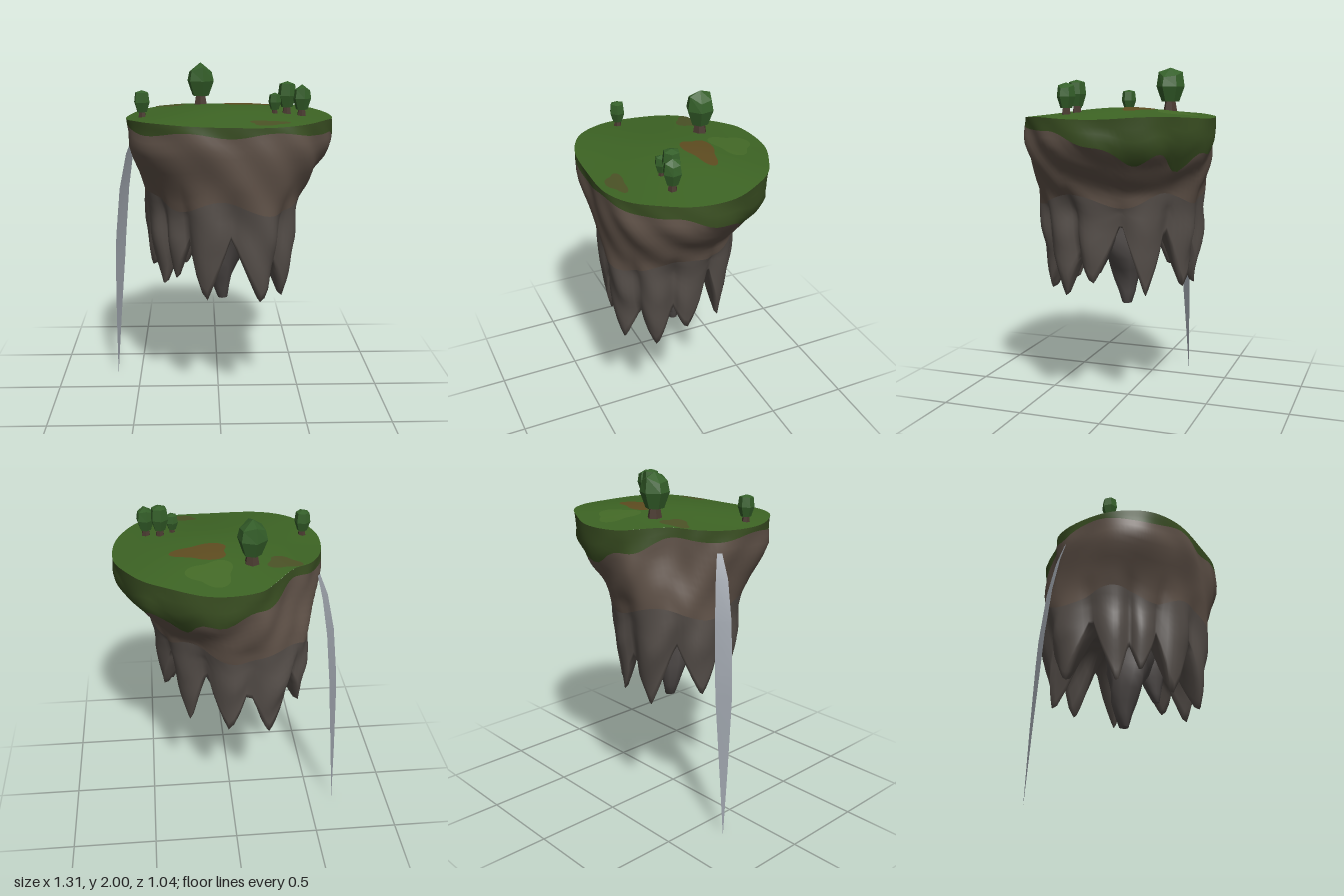
import * as THREE from 'three';

const { lerp, clamp, degToRad, mapLinear } = THREE.MathUtils;
const COLS = 112;
const CENTRE = new THREE.Vector3(0.06, 0, 0);

// Plan outline of the island as [x, z]
const OUTLINE = [
  [0.64, -0.08], [0.64, 0.14], [0.58, 0.29], [0.47, 0.43], [0.31, 0.5], [0.08, 0.51], [-0.2, 0.49],
  [-0.37, 0.41], [-0.45, 0.32], [-0.52, 0.16], [-0.5, -0.07], [-0.42, -0.22], [-0.32, -0.29],
  [-0.2, -0.43], [-0.12, -0.5], [0.13, -0.52], [0.37, -0.42], [0.48, -0.35], [0.56, -0.25],
];
const rim = new THREE.CatmullRomCurve3(OUTLINE.map(([x, z]) => new THREE.Vector3(x, 0, z)), true);

// Hanging rock teeth around the column as [angle in degrees, tip height]
const TEETH = [
  [-157, 0.76], [-118, 0.7], [-85, 0.72], [-40, 0.7], [8, 0.78], [32, 0.69], [58, 0.7], [103, 0.69], [137, 0.8], [160, 0.72],
].map(([deg, tip]) => [degToRad(deg), tip]);

const noise = (x, y, z) =>
  Math.sin(13 * x + 5 * y + 1) * Math.sin(11 * z - 7 * y + 2) * 0.6 + Math.sin(23 * x - 17 * z + 19 * y) * 0.4;

// Gentle mound of the top surface
function topY(x, z) {
  const d2 = ((x - 0.06) / 0.6) ** 2 + (z / 0.53) ** 2;
  return 1.725 + 0.035 * (1 - d2) + 0.012 * Math.sin(5 * x + 1) * Math.cos(6 * z);
}

// Smooth closed surface from rings of equal length
function loft(rings) {
  const n = rings[0].length;
  const index = [];
  for (let r = 0; r < rings.length - 1; r++) {
    for (let c = 0; c < n; c++) {
      const a = r * n + c, b = r * n + ((c + 1) % n);
      index.push(a, b, a + n, b, b + n, a + n);
    }
  }
  const g = new THREE.BufferGeometry().setFromPoints(rings.flat());
  g.setIndex(index);
  g.computeVertexNormals();
  return g;
}

const ring = (fn) => Array.from({ length: COLS }, (_, i) => fn(i / COLS));

function part(name, geometry, color, options = {}) {
  const m = new THREE.Mesh(geometry, new THREE.MeshStandardMaterial({ color, ...options }));
  m.name = name;
  return m;
}

const angleAt = (t) => {
  const p = rim.getPoint(t);
  return Math.atan2(p.z, p.x - CENTRE.x);
};

// Lower edge at an angle, and how far between teeth it lies (0 at a tip, 1 in a gap)
function tooth(a) {
  for (let i = 0; i < TEETH.length; i++) {
    const [a0, tip0] = TEETH[i], [a1, tip1] = TEETH[(i + 1) % TEETH.length];
    const span = (a1 - a0 + 2 * Math.PI) % (2 * Math.PI);
    const v = ((a - a0 + 4 * Math.PI) % (2 * Math.PI)) / span;
    if (v > 1) continue;
    const gap = (tip0 + tip1) / 2 + Math.min(0.4, 0.52 * span);
    const d = 1 - Math.abs(2 * v - 1);
    return { d, y: lerp(v < 0.5 ? tip0 : tip1, gap, d ** 1.15) };
  }
}

// How far the wall has drawn in from the rim to the narrower column
const PROFILE = [[1.8, 0], [1.58, 0.03], [1.5, 0.24], [1.4, 0.6], [1.3, 0.88], [1.2, 1]];
function drawIn(y) {
  for (let i = 1; i < PROFILE.length; i++) {
    const [y0, f0] = PROFILE[i - 1], [y1, f1] = PROFILE[i];
    if (y >= y1) return mapLinear(y, y0, y1, f0, f1);
  }
  return 1;
}

// The column is an oval, long from back right to front left
function wallPoint(t, y) {
  const p = rim.getPoint(t);
  const a = angleAt(t);
  const oval = 1 / Math.hypot(Math.cos(a - Math.PI / 4) / 0.51, Math.sin(a - Math.PI / 4) / 0.38);
  const groove = 1 - 0.14 * tooth(a).d ** 2 * clamp((1.4 - y) / 0.35, 0, 1);
  const s = oval * groove * (1 - 0.13 * clamp((1.05 - y) / 0.35, 0, 1));
  p.lerp(new THREE.Vector3(s * Math.cos(a), 0, 0.02 + s * Math.sin(a)), drawIn(y));
  const k = 1 + 0.03 * noise(p.x, y, p.z) * clamp((1.72 - y) / 0.1, 0, 1);
  return new THREE.Vector3(CENTRE.x + (p.x - CENTRE.x) * k, y, p.z * k);
}

// Lower edge of the grass, hanging deeper at the back
function grassEdge(t) {
  const a = angleAt(t);
  return 1.67 + 0.015 * Math.sin(7 * a) - (0.2 + 0.04 * Math.sin(11 * a)) * Math.max(0, Math.cos(a + 0.9)) ** 1.5;
}

function island() {
  const g = new THREE.Group();
  g.name = 'island';
  const turf = [], skirt = [], rock = [], teeth = [];
  const seam = (t) => 1.26 + 0.04 * Math.sin(angleAt(t) * 5);
  for (let r = 0; r <= 10; r++) {
    turf.push(ring((t) => {
      const p = CENTRE.clone().lerp(rim.getPoint(t), r / 10);
      return p.setY(topY(p.x, p.z));
    }));
  }
  for (let r = 0; r <= 4; r++) {
    skirt.push(ring((t) => {
      const p = rim.getPoint(t);
      return wallPoint(t, lerp(topY(p.x, p.z), grassEdge(t), r / 4));
    }));
  }
  for (let r = 0; r <= 10; r++) rock.push(ring((t) => wallPoint(t, lerp(grassEdge(t), seam(t), r / 10))));
  // Outer face of the teeth, then their inner face rising to the underside
  for (let r = 0; r <= 10; r++) teeth.push(ring((t) => wallPoint(t, lerp(seam(t), tooth(angleAt(t)).y, r / 10))));
  for (const [k, rise] of [[0.93, 0.04], [0.8, 0.3], [0.66, 0.65], [0.5, 1], [0, 1.05]]) {
    teeth.push(ring((t) => {
      const { y } = tooth(angleAt(t));
      const p = wallPoint(t, y);
      return new THREE.Vector3(p.x * k, lerp(y, 1.12, rise), p.z * k);
    }));
  }
  g.add(
    part('turf', loft(turf), 0x3d6424), part('grassSkirt', loft(skirt), 0x3a4f22),
    part('rockBody', loft(rock), 0x62544a), part('rockTeeth', loft(teeth), 0x57504b),
  );
  return g;
}

// Irregular patch lying on the turf
function patch(name, x, z, rx, rz, color) {
  const rings = [];
  for (let r = 0; r <= 4; r++) {
    rings.push(ring((t) => {
      const a = t * Math.PI * 2;
      const k = (r / 4) * (1 + 0.2 * Math.sin(3 * a + x * 9));
      const px = x + rx * k * Math.cos(a), pz = z + rz * k * Math.sin(a);
      return new THREE.Vector3(px, topY(px, pz) + 0.003, pz);
    }));
  }
  return part(name, loft(rings), color);
}

// Inner rock spike, crooked toward its tip
function spike(x, z, tip, radius) {
  const n = 11, rings = [];
  for (let r = 0; r <= 9; r++) {
    const v = r / 9;
    const y = lerp(1.25, tip, v);
    const size = radius * (v < 0.35 ? 1 : 1 - 0.8 * ((v - 0.35) / 0.65) ** 1.2);
    const cx = x + 0.015 * Math.sin(6 * v), cz = z + 0.015 * Math.sin(5 * v + 8 * x);
    rings.push(Array.from({ length: n }, (_, i) => {
      const a = (i / n) * Math.PI * 2;
      const s = size * (1 + 0.2 * noise(x + Math.cos(a) * 0.12, y, z + Math.sin(a) * 0.12));
      return new THREE.Vector3(cx + s * Math.cos(a), y, cz + s * Math.sin(a));
    }));
  }
  rings.push(rings[9].map(() => new THREE.Vector3(x, tip, z)));
  return part('rockSpike', loft(rings), 0x504b49);
}

// Tree with a flared trunk and a six-sided crown; ridge slopes the crown top to both sides
function tree(x, z, radius, top, ridge) {
  const g = new THREE.Group();
  g.name = 'tree';
  const ground = topY(x, z) - 0.01;
  const base = lerp(ground, top, 0.24);
  const trunk = part('trunk', new THREE.CylinderGeometry(radius * 0.34, radius * 0.52, base - ground + 0.02, 6), 0x4a3a30, { flatShading: true });
  trunk.position.set(x, (base + ground) / 2 + 0.01, z);
  const h = top - base;
  const profile = [[0, 0], [0.62, 0], [1, 0.45], [0.85, 0.92], [0, 1]].map(([r, y]) => new THREE.Vector2(r * radius, y * h));
  const geo = new THREE.LatheGeometry(profile, 6, 0.2);
  const pos = geo.attributes.position;
  for (let i = 0; i < pos.count; i++) {
    if (pos.getY(i) > h * 0.8) pos.setY(i, pos.getY(i) - Math.abs(pos.getX(i)) * ridge);
  }
  const crown = part('crown', geo, 0x35602a, { flatShading: true });
  crown.position.set(x, base, z);
  g.add(trunk, crown);
  return g;
}

// Thin ribbon of water: [x, y, z, half width]
function waterfall() {
  const path = [
    [-0.49, 1.6, -0.12, 0.3], [-0.53, 1.47, -0.14, 0.7], [-0.57, 1.25, -0.165, 0.95], [-0.6, 0.95, -0.185, 1],
    [-0.61, 0.8, -0.19, 0.95], [-0.632, 0.4, -0.203, 0.5], [-0.65, 0, -0.215, 0.02],
  ];
  const pts = [], index = [];
  path.forEach(([x, y, z, w], i) => {
    pts.push(new THREE.Vector3(x - 0.028 * w, y, z + 0.038 * w), new THREE.Vector3(x + 0.028 * w, y, z - 0.038 * w));
    const a = i * 2;
    if (i) index.push(a - 2, a - 1, a, a - 1, a + 1, a);
  });
  const geo = new THREE.BufferGeometry().setFromPoints(pts);
  geo.setIndex(index);
  geo.computeVertexNormals();
  return part('waterfall', geo, 0x9aa0a8, { side: THREE.DoubleSide });
}

export function createModel() {
  const model = new THREE.Group();
  model.name = 'floatingIsland';
  model.add(island(), waterfall());
  model.add(
    patch('dirtPatch', 0.16, -0.11, 0.15, 0.08, 0x5e4c20), patch('dirtPatch', 0.26, 0.42, 0.1, 0.045, 0x4b5226),
    patch('dirtPatch', -0.27, -0.23, 0.09, 0.06, 0x4b5226), patch('lightGrass', 0.12, -0.32, 0.12, 0.11, 0x446a27),
  );
  for (const s of [[0.03, 0.01, 0.6, 0.14], [0.26, 0.09, 0.82, 0.1]]) model.add(spike(...s));
  const trees = [
    [-0.1, -0.23, 0.083, 2, 0.6], [-0.43, 0.145, 0.046, 1.875, 0.1], [0.31, 0.19, 0.036, 1.865, 0.2],
    [0.38, 0.165, 0.052, 1.925, 0.1], [0.46, 0.195, 0.052, 1.91, 0.5],
  ];
  for (const t of trees) model.add(tree(...t));
  return model;
}
